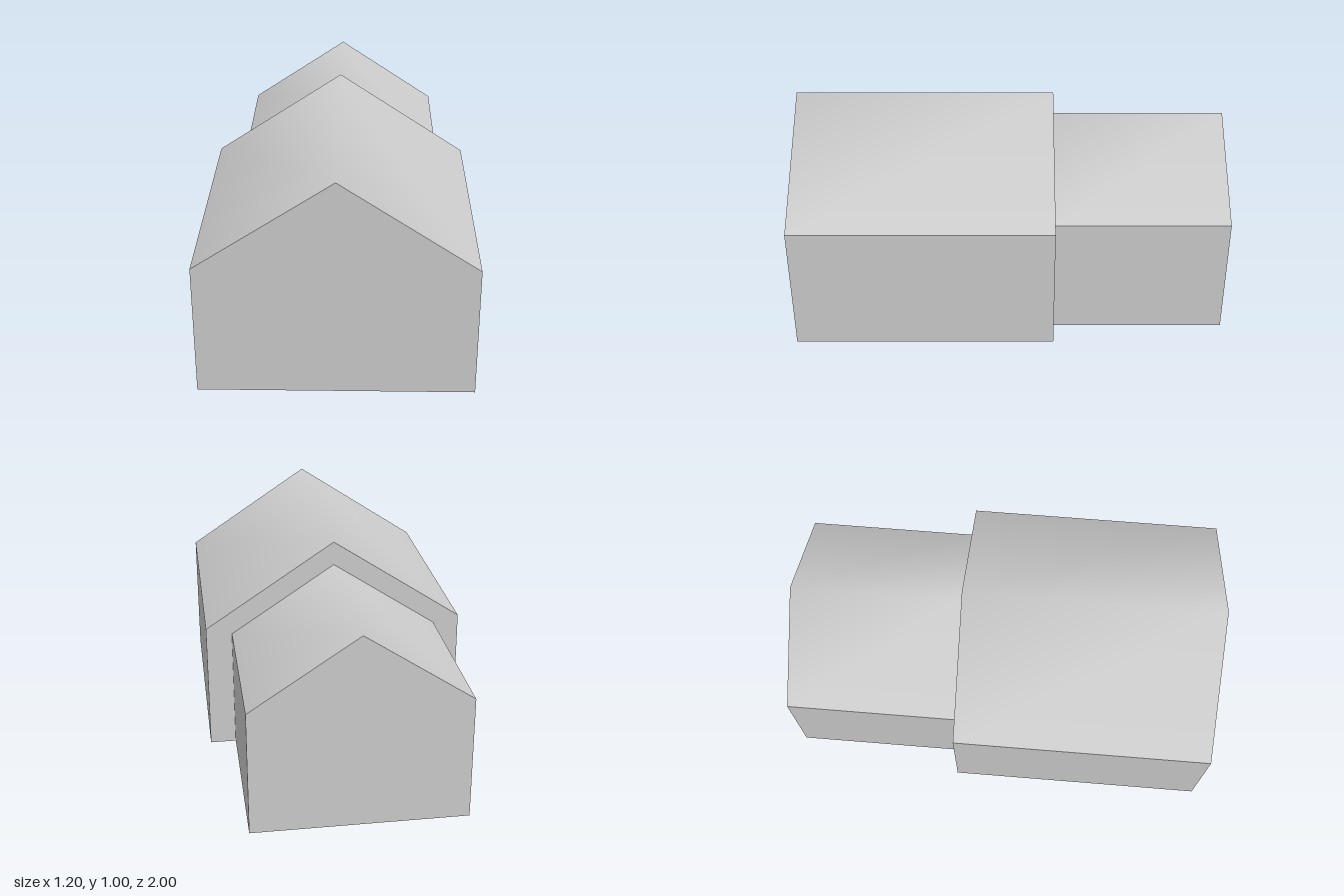
import * as THREE from 'three';

const grey = new THREE.MeshStandardMaterial({ color: 0xcccccc, side: THREE.DoubleSide });
grey.name = 'lightGrey';

function addMesh(group, name, geometry) {
  const mesh = new THREE.Mesh(geometry, grey);
  mesh.name = name;
  group.add(mesh);
  return mesh;
}

// Sheet swept along z through a row of [x, y] points, smooth where points are shared
function sheet(points, zFront, zBack) {
  const positions = points.flatMap(([x, y]) => [x, y, zFront, x, y, zBack]);
  const index = [];
  for (let i = 0; i < points.length - 1; i++) {
    const a = i * 2;
    index.push(a, a + 2, a + 1, a + 1, a + 2, a + 3);
  }
  const geometry = new THREE.BufferGeometry();
  geometry.setAttribute('position', new THREE.Float32BufferAttribute(positions, 3));
  geometry.setIndex(index);
  geometry.computeVertexNormals();
  return geometry;
}

// Five-sided end wall, facing +z unless turned round
function gable(half, eave, ridge) {
  const outline = [[-half, 0], [half, 0], [half, eave], [0, ridge], [-half, eave]];
  return new THREE.ShapeGeometry(new THREE.Shape(outline.map(([x, y]) => new THREE.Vector2(x, y))));
}

// Hollow gabled block with no floor
function block(name, { half, eave, ridge, zFront, zBack, frontWall }) {
  const group = new THREE.Group();
  group.name = name;

  // Pitched roof, shaded softly across the ridge
  addMesh(group, 'roof', sheet([[-half, eave], [0, ridge], [half, eave]], zFront, zBack));

  // Side walls
  addMesh(group, 'leftWall', sheet([[half, eave], [half, 0]], zFront, zBack));
  addMesh(group, 'rightWall', sheet([[-half, 0], [-half, eave]], zFront, zBack));

  // End walls
  if (frontWall) addMesh(group, 'frontGable', gable(half, eave, ridge)).position.z = zFront;
  const back = addMesh(group, 'backGable', gable(half, eave, ridge));
  back.rotation.y = Math.PI;
  back.position.z = zBack;
  return group;
}

export function createModel() {
  const model = new THREE.Group();
  model.name = 'house';
  model.add(
    block('mainHouse', { half: 0.6, eave: 0.6, ridge: 1, zFront: 1, zBack: -0.2, frontWall: true }),
    // The extension leans against the back gable of the main house
    block('rearExtension', { half: 0.48, eave: 0.57, ridge: 0.89, zFront: -0.2, zBack: -1, frontWall: false }),
  );
  return model;
}
